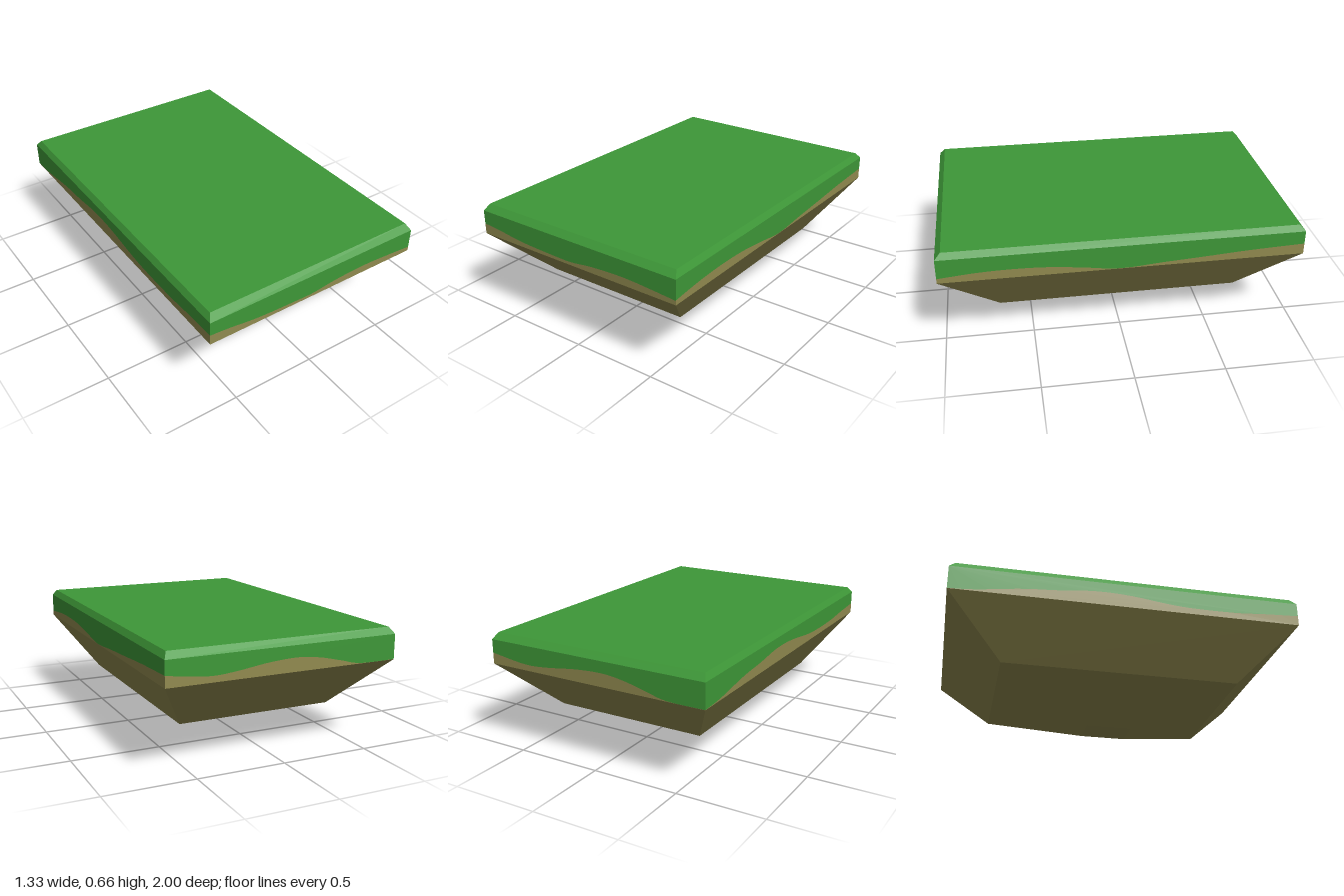
import * as THREE from 'three';

const HX = 0.667, HZ = 1, RIM = 0.485, SHOULDER = 0.625;

// Flat-sided skin through rectangular rings [halfX, y, halfZ], listed bottom to top
function ringSkin(rings, capBottom, capTop) {
  const pos = [];
  const corners = ([x, y, z]) => [[-x, y, z], [x, y, z], [x, y, -z], [-x, y, -z]];
  const quad = (a, b, c, d) => pos.push(...a, ...b, ...c, ...a, ...c, ...d);
  for (let i = 0; i < rings.length - 1; i++) {
    const lo = corners(rings[i]), hi = corners(rings[i + 1]);
    for (let k = 0; k < 4; k++) {
      const n = (k + 1) % 4;
      quad(lo[k], lo[n], hi[n], hi[k]);
    }
  }
  if (capBottom) quad(...corners(rings[0]).reverse());
  if (capTop) quad(...corners(rings[rings.length - 1]));
  const geo = new THREE.BufferGeometry();
  geo.setAttribute('position', new THREE.Float32BufferAttribute(pos, 3));
  geo.computeVertexNormals();
  return geo;
}

export function createModel() {
  const grass = new THREE.MeshStandardMaterial({ color: 0x3e9838 });
  grass.name = 'grass green';
  const earth = new THREE.MeshStandardMaterial({ color: 0x918a4f });
  earth.name = 'earth brown';

  const model = new THREE.Group();
  model.name = 'floatingIsland';
  const add = (parent, name, geo, mat) => {
    const mesh = new THREE.Mesh(geo, mat);
    mesh.name = name;
    parent.add(mesh);
  };

  // Tapering earth underside
  add(model, 'earthUnderside', ringSkin(
    [[0.09, 0, 0.13], [0.455, 0.18, 0.68], [HX, RIM, HZ]], true, false), earth);

  // Bevelled grass top
  add(model, 'grassTop', ringSkin(
    [[HX, SHOULDER, HZ], [0.647, 0.66, 0.967]], false, true), grass);

  // Upright walls: a wavy line parts grass from earth; points run left to right from outside
  const walls = [
    { name: 'frontWall', turn: 0, half: HX, out: HZ, wave: [
      [-HX, 0.545], [-0.55, 0.535], [-0.37, 0.513], [-0.1, 0.503], [0, 0.505],
      [0.12, 0.52], [0.28, 0.529], [0.42, 0.527], [HX, 0.51]] },
    { name: 'leftWall', turn: 1, half: HZ, out: HX, wave: [
      [-HZ, 0.513], [-0.8, 0.531], [-0.6, 0.537], [-0.4, 0.53], [-0.2, 0.507], [-0.08, 0.49],
      [0.03, 0.488], [0.2, 0.502], [0.45, 0.518], [0.7, 0.535], [HZ, 0.548]] },
    { name: 'backWall', turn: 2, half: HX, out: HZ, wave: [
      [-HX, 0.548], [-0.45, 0.52], [-0.3, 0.526], [-0.1, 0.552], [0.07, 0.56],
      [0.2, 0.545], [0.33, 0.515], [0.45, 0.488], [HX, 0.486]] },
    { name: 'rightWall', turn: 3, half: HZ, out: HX, wave: [
      [-HZ, 0.486], [-0.85, 0.495], [-0.6, 0.53], [-0.4, 0.545], [-0.2, 0.565],
      [0, 0.56], [0.3, 0.525], [0.6, 0.522], [0.8, 0.535], [HZ, 0.545]] },
  ];
  for (const { name, turn, half, out, wave } of walls) {
    const line = new THREE.SplineCurve(wave.map(p => new THREE.Vector2(...p))).getPoints(48);
    const corner = (x, y) => new THREE.Vector2(x, y);
    const wall = new THREE.Group();
    wall.name = name;
    wall.rotation.y = turn * Math.PI / 2;
    for (const [part, y, mat] of [['GrassBand', SHOULDER, grass], ['EarthBand', RIM, earth]]) {
      const shape = new THREE.Shape([...line, corner(half, y), corner(-half, y)]);
      add(wall, name + part, new THREE.ShapeGeometry(shape).translate(0, 0, out), mat);
    }
    model.add(wall);
  }
  return model;
}
